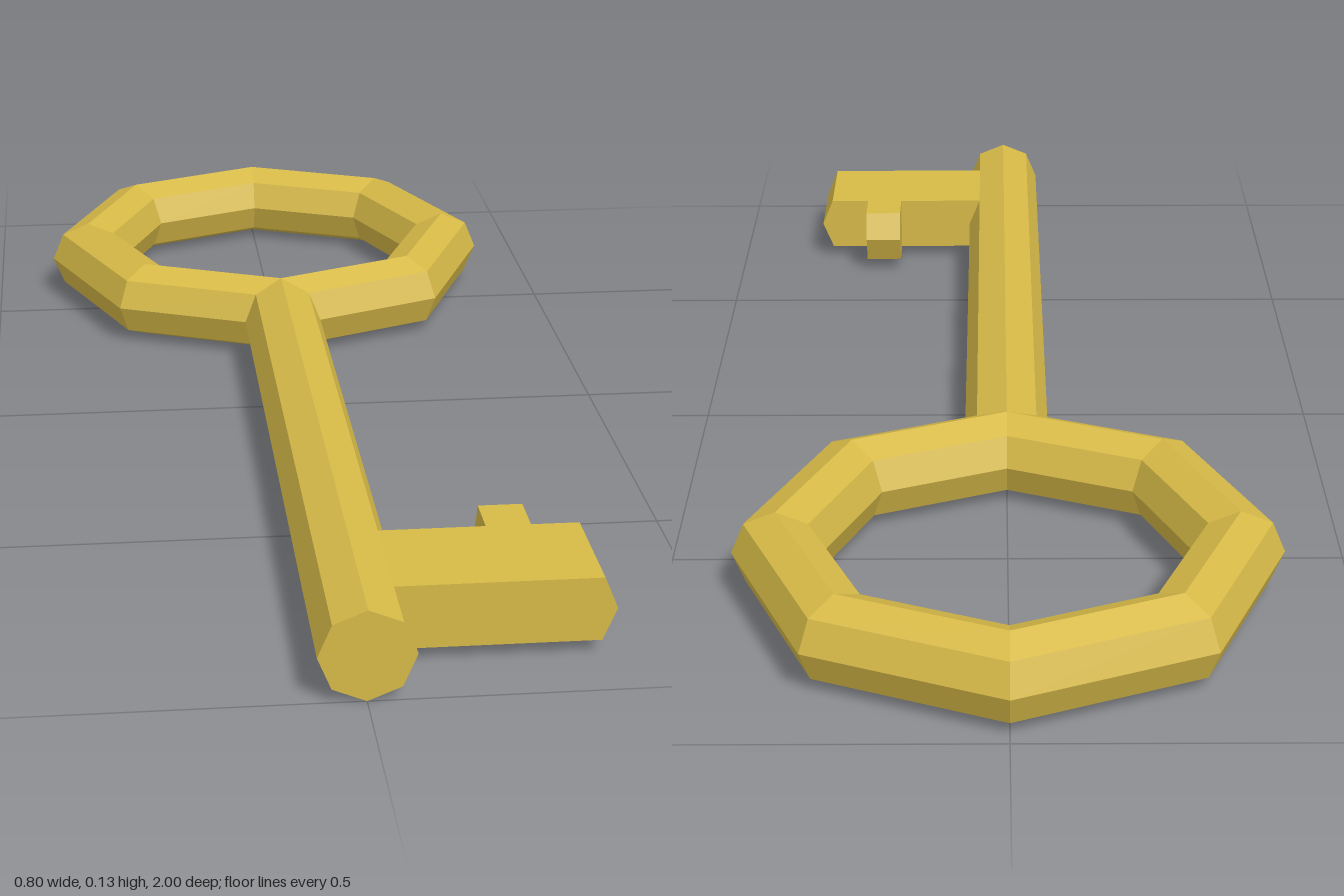
import * as THREE from 'three';

export function createModel() {
  const key = new THREE.Group();
  key.name = 'key';
  const brass = new THREE.MeshStandardMaterial({ color: 0xd6b947, flatShading: true });
  const r = 0.066;          // radius of the octagonal bar
  const c = r * Math.SQRT1_2; // half height of the flat parts

  const add = (name, geometry, x, y, z) => {
    const mesh = new THREE.Mesh(geometry, brass);
    mesh.name = name;
    mesh.position.set(x, y, z);
    key.add(mesh);
    return mesh;
  };

  // Flat bar along +x whose far end comes to a shallow ridge
  const ridgedBar = (length, depth) => {
    const ridge = r - c;
    const shape = new THREE.Shape([
      new THREE.Vector2(0, -c),
      new THREE.Vector2(length - ridge, -c),
      new THREE.Vector2(length, 0),
      new THREE.Vector2(length - ridge, c),
      new THREE.Vector2(0, c),
    ]);
    return new THREE.ExtrudeGeometry(shape, { depth, bevelEnabled: false });
  };

  // Octagonal ring handle, lying flat
  add('bow', new THREE.TorusGeometry(0.334, r, 8, 8).rotateX(Math.PI / 2), 0, r, -0.6);

  // Octagonal shaft from the ring to the tip
  const back = -0.266, front = 1;
  add('shaft', new THREE.CylinderGeometry(r, r, front - back, 8).rotateX(Math.PI / 2),
    0, r, (front + back) / 2);

  // Bit on the left side, with one tooth pointing back to the ring
  add('bit', ridgedBar(0.33, 0.172), 0.02, r, 0.727);
  add('tooth', ridgedBar(0.087, 0.064).rotateY(Math.PI / 2), 0.198, r, 0.727);

  return key;
}
